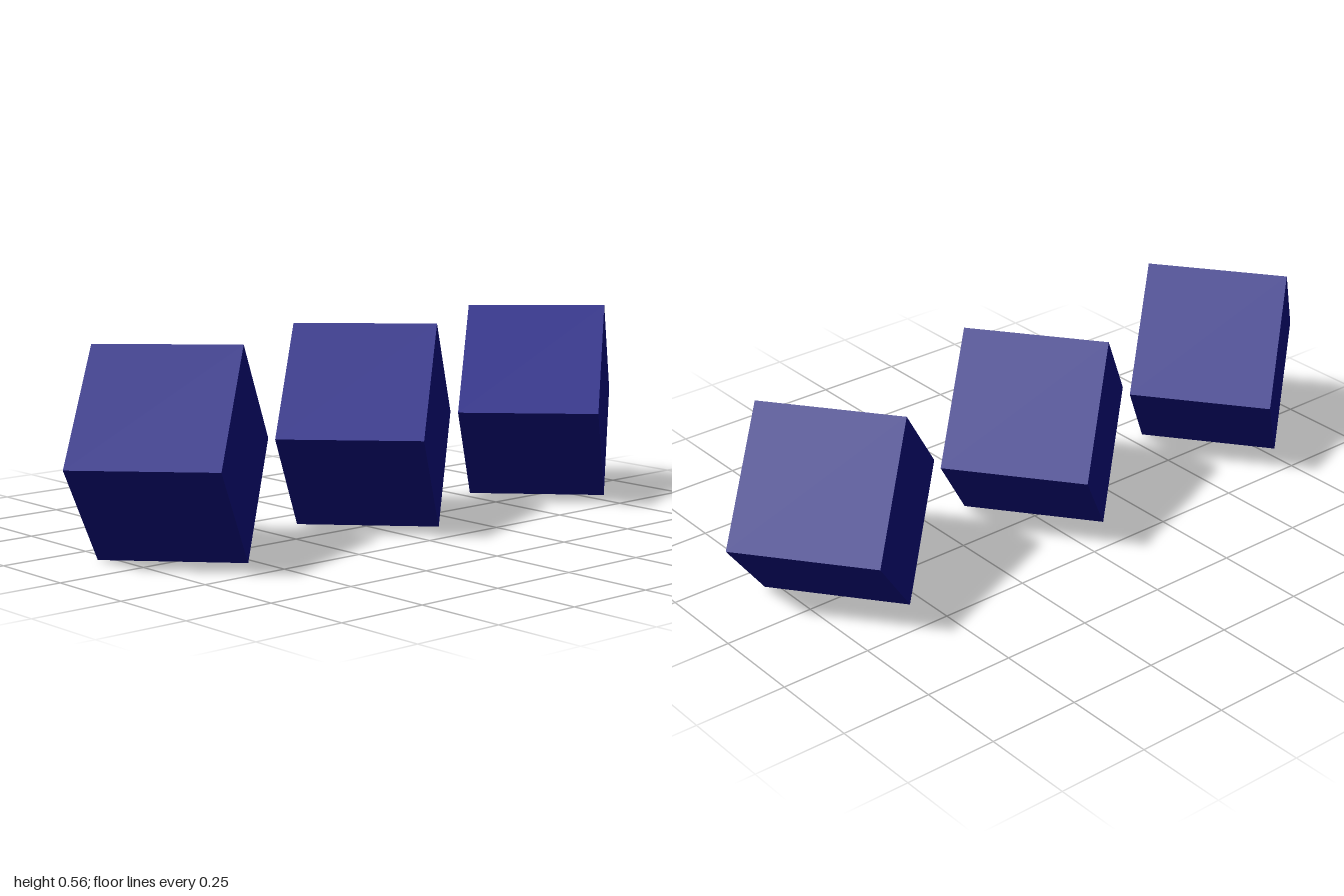
import * as THREE from 'three';

// Three identical tilted cubes in a row, touching near their corners
export function createModel() {
  const group = new THREE.Group();
  group.name = 'cubeRow';
  const navy = new THREE.MeshStandardMaterial({ color: 0x0b0b80 });
  navy.name = 'navy';

  // Shared tilt, given by the directions of the cube's edges
  const a = new THREE.Vector3(-0.245, -0.006, -0.304).normalize();
  const b = new THREE.Vector3(0.215, 0.271, -0.179);
  b.addScaledVector(a, -b.dot(a)).normalize();
  const c = new THREE.Vector3().crossVectors(a, b);
  const tilt = new THREE.Matrix4().makeBasis(a, b, c);

  const geometry = new THREE.BoxGeometry(0.39, 0.39, 0.39).applyMatrix4(tilt);
  ['rightCube', 'middleCube', 'leftCube'].forEach((name, i) => {
    const cube = new THREE.Mesh(geometry, navy);
    cube.name = name;
    cube.position.set((i - 1) * 0.6625, 0.279, 0);
    group.add(cube);
  });
  return group;
}
